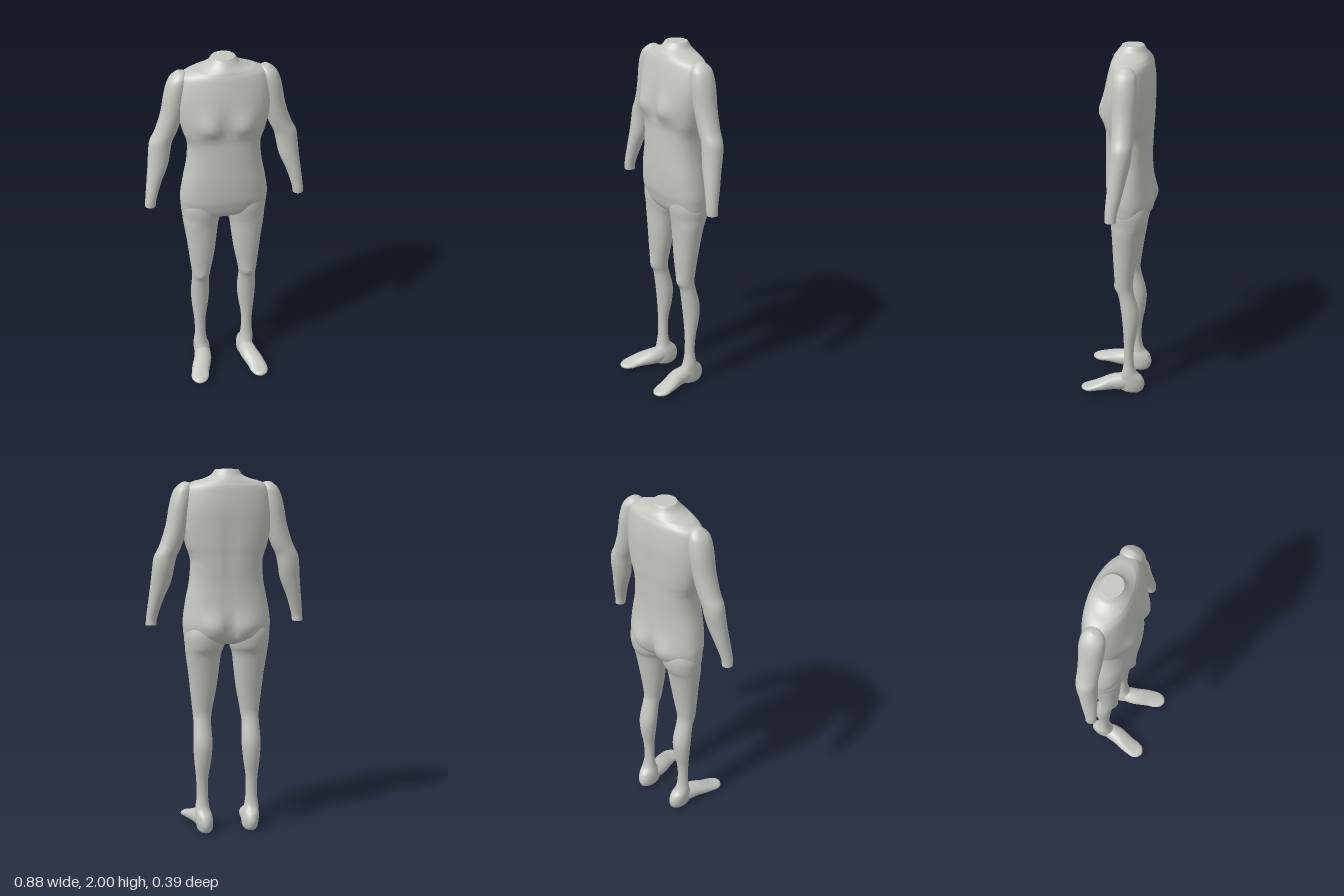
import * as THREE from 'three';

const SEGS = 56, SUB = 6;

// Smooth Catmull-Rom resampling of cross-section rows
function refine(rows) {
  const out = [], last = rows.length - 1;
  for (let i = 0; i < last; i++) {
    const p0 = rows[Math.max(i - 1, 0)], p1 = rows[i], p2 = rows[i + 1], p3 = rows[Math.min(i + 2, last)];
    for (let k = 0; k < SUB; k++) {
      const t = k / SUB;
      out.push(p1.map((b, c) => {
        const a = p0[c], d = p2[c], e = p3[c];
        return b + 0.5 * t * (d - a + t * (2 * a - 5 * b + 4 * d - e + t * (3 * (b - d) + e - a)));
      }));
    }
  }
  out.push(rows[last]);
  return out;
}

// Skin closed sections: row = [along, aMin, aMax, bMin, bMax, roundness]
function loft(rows, place, side = 1) {
  const pos = [], idx = [], rings = refine(rows);
  const tri = (a, b, c) => (side > 0 ? idx.push(a, b, c) : idx.push(a, c, b));
  const addRing = ([u, a0, a1, b0, b1, n]) => {
    const start = pos.length / 3;
    for (let j = 0; j < SEGS; j++) {
      const t = (j / SEGS) * Math.PI * 2, c = Math.cos(t), s = Math.sin(t);
      const a = (a0 + a1) / 2 + ((a1 - a0) / 2) * Math.sign(c) * Math.abs(c) ** (2 / n);
      const b = (b0 + b1) / 2 + ((b1 - b0) / 2) * Math.sign(s) * Math.abs(s) ** (2 / n);
      const [x, y, z] = place(u, a, b, s);
      pos.push(x * side, y, z);
    }
    return start;
  };
  rings.forEach((r, i) => {
    const s = addRing(r);
    if (i === 0) return;
    for (let j = 0; j < SEGS; j++) {
      const k = (j + 1) % SEGS, p = s - SEGS;
      tri(p + j, p + k, s + j);
      tri(p + k, s + k, s + j);
    }
  });
  // End caps keep their own vertices so the rims stay crisp
  [rings[0], rings[rings.length - 1]].forEach((r, end) => {
    const s = addRing(r), centre = pos.length / 3;
    const [x, y, z] = place(r[0], (r[1] + r[2]) / 2, (r[3] + r[4]) / 2, 0);
    pos.push(x * side, y, z);
    for (let j = 0; j < SEGS; j++) {
      const k = (j + 1) % SEGS;
      if (end) tri(centre, s + j, s + k);
      else tri(centre, s + k, s + j);
    }
  });
  const g = new THREE.BufferGeometry();
  g.setAttribute('position', new THREE.Float32BufferAttribute(pos, 3));
  g.setIndex(idx);
  g.computeVertexNormals();
  return g;
}

const bell = (v, mid, width) => Math.exp(-(((v - mid) / width) ** 2));
const upright = (y, x, z) => [x, y, z];

// Chest, buttocks and spine relief pushed out of the plain torso
function torsoRelief(y, x, z, s) {
  const ax = Math.abs(x);
  if (s > 0) {
    z += s * 0.032 * bell(ax, 0.095, 0.065) * bell(y, 1.655, y < 1.655 ? 0.05 : 0.085);
    z -= s * 0.008 * bell(x, 0, 0.035) * bell(y, 1.66, 0.07);
  } else {
    z += s * 0.026 * bell(ax, 0.095, 0.08) * bell(y, 1.145, 0.085);
    z -= s * 0.024 * bell(x, 0, 0.022) * bell(y, 1.13, 0.09);
    z -= s * 0.007 * bell(x, 0, 0.018) * bell(y, 1.55, 0.25);
  }
  return [x, y, z];
}

// Torso: [y, half width, back z, front z, roundness]
const torsoRows = [
  [2.0, 0.062, -0.12, -0.003, 2], [1.992, 0.068, -0.125, 0.001, 2],
  [1.97, 0.086, -0.137, 0.018, 2], [1.95, 0.13, -0.15, 0.033, 2],
  [1.935, 0.185, -0.157, 0.04, 2], [1.9, 0.235, -0.17, 0.053, 2],
  [1.8, 0.248, -0.18, 0.074, 2.2], [1.7, 0.242, -0.178, 0.08, 2.4],
  [1.6, 0.222, -0.175, 0.077, 2.5], [1.55, 0.205, -0.172, 0.073, 2.5],
  [1.5, 0.196, -0.17, 0.073, 2.5], [1.4, 0.204, -0.166, 0.075, 2.4],
  [1.3, 0.224, -0.168, 0.075, 2.4], [1.2, 0.24, -0.174, 0.07, 2.3],
  [1.15, 0.24, -0.172, 0.06, 2.3], [1.1, 0.232, -0.158, 0.044, 2.2],
  [1.07, 0.19, -0.13, 0.02, 2], [1.057, 0.1, -0.09, -0.02, 2],
].map(([y, w, b, f, n]) => [y, -w, w, b, f, n]);

// Arm: [y, inner x, outer x, back z, front z, roundness]
const armRows = [
  [1.936, 0.225, 0.235, -0.068, -0.056, 2], [1.928, 0.195, 0.25, -0.092, -0.03, 2],
  [1.9, 0.185, 0.28, -0.115, -0.005, 2], [1.86, 0.185, 0.299, -0.123, 0.004, 2],
  [1.8, 0.193, 0.314, -0.127, 0.006, 2], [1.7, 0.213, 0.333, -0.123, 0.002, 2],
  [1.6, 0.245, 0.366, -0.118, -0.003, 2], [1.54, 0.273, 0.396, -0.115, -0.004, 2],
  [1.48, 0.287, 0.405, -0.11, -0.002, 2], [1.4, 0.304, 0.413, -0.093, 0.003, 2],
  [1.3, 0.346, 0.425, -0.071, 0.01, 2], [1.21, 0.374, 0.436, -0.049, 0.015, 2],
  [1.166, 0.381, 0.439, -0.046, 0.014, 2],
];

// Leg from hip to heel, same columns
const legRows = [
  [1.2, 0.03, 0.215, -0.15, 0.04, 2], [1.12, 0.008, 0.236, -0.168, 0.045, 2],
  [1.05, 0.016, 0.231, -0.16, 0.036, 2], [1.0, 0.032, 0.226, -0.138, 0.03, 2.1],
  [0.9, 0.044, 0.212, -0.12, 0.025, 2.1], [0.8, 0.057, 0.201, -0.104, 0.02, 2.1],
  [0.7, 0.076, 0.19, -0.09, 0.013, 2.1], [0.655, 0.083, 0.186, -0.088, 0.008, 2],
  [0.61, 0.087, 0.185, -0.097, -0.009, 2], [0.5, 0.083, 0.19, -0.124, -0.025, 2],
  [0.4, 0.092, 0.185, -0.118, -0.035, 2], [0.3, 0.107, 0.175, -0.1, -0.04, 2],
  [0.2, 0.108, 0.172, -0.096, -0.04, 2], [0.13, 0.1, 0.18, -0.11, -0.031, 2],
  [0.09, 0.088, 0.18, -0.145, -0.015, 2], [0.05, 0.083, 0.178, -0.158, -0.005, 2],
  [0.015, 0.086, 0.172, -0.15, -0.01, 2], [0, 0.096, 0.162, -0.137, -0.03, 2],
];

// Foot, turned slightly outward: [z, inner x, outer x, bottom y, top y, roundness]
const footRows = [
  [-0.09, 0.1, 0.165, 0.02, 0.1, 2], [-0.03, 0.087, 0.183, 0.008, 0.105, 2],
  [0.02, 0.09, 0.195, 0.01, 0.098, 2.1], [0.06, 0.101, 0.21, 0.011, 0.086, 2.1],
  [0.11, 0.118, 0.223, 0.011, 0.065, 2.1], [0.15, 0.127, 0.229, 0.01, 0.05, 2.1],
  [0.18, 0.142, 0.218, 0.012, 0.042, 2], [0.195, 0.16, 0.2, 0.017, 0.036, 2],
  [0.2, 0.175, 0.185, 0.025, 0.029, 2],
];

export function createModel() {
  const model = new THREE.Group();
  model.name = 'headlessFigure';
  const skin = new THREE.MeshStandardMaterial({ color: 0xc6c6c0 });
  skin.name = 'pale warm grey';
  const add = (name, geometry) => {
    const mesh = new THREE.Mesh(geometry, skin);
    mesh.name = name;
    model.add(mesh);
  };

  add('torso', loft(torsoRows, torsoRelief));

  // Kneecap relief on the front of each leg
  const legPlace = (y, x, z, s) =>
    [x, y, z + Math.max(s, 0) * 0.006 * bell(x, 0.135, 0.03) * bell(y, 0.66, 0.035)];

  for (const [label, side] of [['left', 1], ['right', -1]]) {
    add(label + 'Arm', loft(armRows, upright, side));
    add(label + 'Leg', loft(legRows, legPlace, side));
    add(label + 'Foot', loft(footRows, (z, x, y) => [x, y, z], side));
  }
  return model;
}
